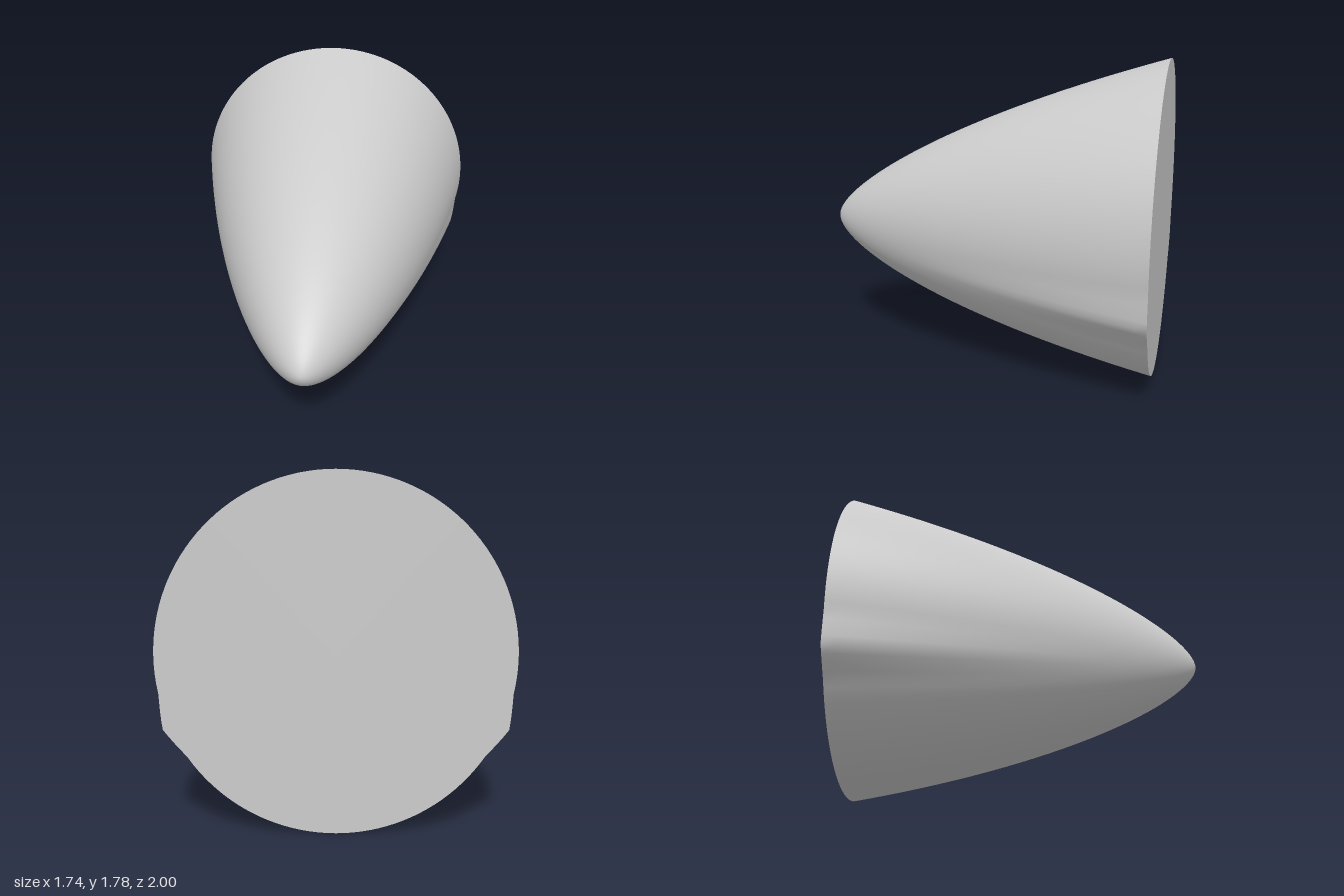
import * as THREE from 'three';
import { mergeVertices } from 'three/addons/utils/BufferGeometryUtils.js';

const SIDES = 128; // places a vertex exactly on each chine edge
const RINGS = 64;
const CHINE_ANGLE = Math.PI / 8;
const CHINE_WIDTH = Math.PI / 16;

// Point on the shell: s runs from 0 at the tip to 1 at the rear rim
function shellPoint(s, angle) {
  const depth = 2 * s * s;
  const radius = s * (0.501 + 0.741 * s - 0.352 * s * s);
  const centreY = 0.775 + 0.0587 * depth;

  // Low side ridges that grow toward the rear
  const c = Math.cos(angle), n = Math.sin(angle);
  const below = Math.atan2(-n, Math.abs(c));
  const tent = Math.max(0, 1 - Math.abs(below - CHINE_ANGLE) / CHINE_WIDTH);
  const growth = Math.max(0, (depth - 0.5) / 1.5);
  const r = radius * (1 + 0.043 * Math.pow(tent, 1.2) * Math.pow(growth, 1.2));

  return [r * 0.98 * c, centreY + r * n, 1 - depth];
}

function makeGeometry(positions, indices) {
  const geometry = new THREE.BufferGeometry();
  geometry.setAttribute('position', new THREE.Float32BufferAttribute(positions, 3));
  geometry.setIndex(indices);
  const merged = mergeVertices(geometry, 1e-5);
  merged.computeVertexNormals();
  return merged;
}

// Curved skin lofted from the tip to the rim
function shellGeometry() {
  const positions = [], indices = [];
  for (let i = 0; i <= RINGS; i++) {
    for (let j = 0; j < SIDES; j++) {
      positions.push(...shellPoint(i / RINGS, (j / SIDES) * Math.PI * 2));
    }
  }
  for (let i = 0; i < RINGS; i++) {
    for (let j = 0; j < SIDES; j++) {
      const k = (j + 1) % SIDES;
      const a = i * SIDES + j, b = a + SIDES;
      const d = i * SIDES + k, c = d + SIDES;
      indices.push(a, b, c);
      if (i > 0) indices.push(a, c, d);
    }
  }
  return makeGeometry(positions, indices);
}

// Flat disc closing the rear, following the rim outline
function rearGeometry() {
  const positions = [0, 0.89, -1], indices = [];
  for (let j = 0; j < SIDES; j++) {
    positions.push(...shellPoint(1, (j / SIDES) * Math.PI * 2));
    indices.push(0, 1 + ((j + 1) % SIDES), 1 + j);
  }
  return makeGeometry(positions, indices);
}

export function createModel() {
  const group = new THREE.Group();
  group.name = 'noseCone';
  const material = new THREE.MeshStandardMaterial({ color: 0xcccccc });
  const parts = { shell: shellGeometry(), rearBulkhead: rearGeometry() };
  for (const [name, geometry] of Object.entries(parts)) {
    const mesh = new THREE.Mesh(geometry, material);
    mesh.name = name;
    group.add(mesh);
  }
  return group;
}
